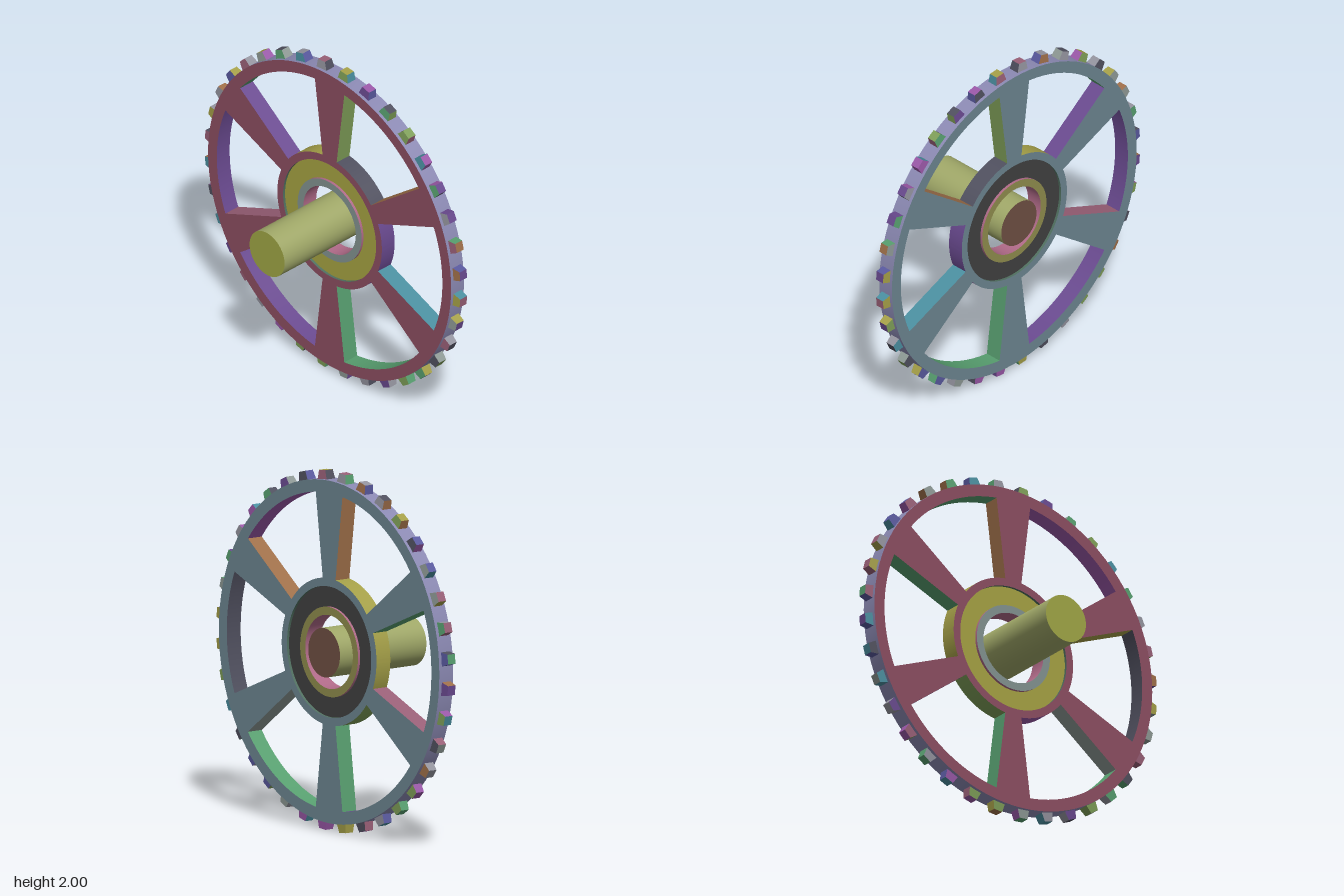
import * as THREE from 'three';
import { toCreasedNormals } from 'three/addons/utils/BufferGeometryUtils.js';

const WHEEL_Z = -0.222, HALF = 0.049, RECESS = 0.015;
const R_RIM = 0.952, R_WINDOW = 0.883, R_HUB = 0.409, R_SEAT = 0.364, R_RING = 0.25, R_BORE = 0.205;

const paint = (color) => new THREE.MeshStandardMaterial({ color });

// Small seeded generator for the varied face colours
let seed = 7;
const random = () => (seed = (seed * 16807) % 2147483647) / 2147483647;
const palette = [0x9a58a8, 0x4a8fa0, 0x7f9f58, 0xa0704a, 0x5a5aa0, 0x8f9a96, 0xa5a048,
  0x9a6078, 0x58a070, 0x6a4a90, 0x94949f, 0x50505f].map(paint);
const pick = () => palette[Math.floor(random() * palette.length)];

// Gives every triangle the material returned by rule(normal z, radius, angle)
function paintFaces(geometry, rule) {
  const g = toCreasedNormals(geometry, 0.5);
  const p = g.attributes.position, materials = [];
  const [a, b, c, n] = [0, 1, 2, 3].map(() => new THREE.Vector3());
  g.clearGroups();
  for (let i = 0; i < p.count; i += 3) {
    a.fromBufferAttribute(p, i);
    b.fromBufferAttribute(p, i + 1);
    c.fromBufferAttribute(p, i + 2);
    THREE.Triangle.getNormal(a, b, c, n);
    a.add(b).add(c).divideScalar(3);
    const m = rule(n.z, Math.hypot(a.x, a.y), Math.atan2(a.y, a.x));
    if (!materials.includes(m)) materials.push(m);
    const index = materials.indexOf(m), last = g.groups[g.groups.length - 1];
    if (last && last.materialIndex === index) last.count += 3;
    else g.addGroup(i, 3, index);
  }
  return new THREE.Mesh(g, materials);
}

// Rim, six flared spokes and hub in one plate with windows
function makeWheel() {
  const shape = new THREE.Shape().absarc(0, 0, R_RIM, 0, Math.PI * 2);
  shape.holes.push(new THREE.Path().absarc(0, 0, R_SEAT, 0, Math.PI * 2, true));
  const inner = Math.asin(0.055 / R_HUB), outer = Math.asin(0.115 / R_WINDOW);
  for (let i = 0; i < 6; i++) {
    const start = Math.PI / 6 + i * Math.PI / 3, end = start + Math.PI / 3;
    const hole = new THREE.Path();
    hole.absarc(0, 0, R_WINDOW, start + outer, end - outer, false);
    hole.absarc(0, 0, R_HUB, end - inner, start + inner, true);
    hole.closePath();
    shape.holes.push(hole);
  }
  const g = new THREE.ExtrudeGeometry(shape, { depth: 2 * HALF, bevelEnabled: false, curveSegments: 48 });
  g.translate(0, 0, -HALF);
  const front = paint(0x8c4d61), back = paint(0x6c8590), rim = paint(0x8c8ab4), seat = paint(0x507060);
  const walls = Array.from({ length: 24 }, pick);
  return paintFaces(g, (nz, r, angle) => {
    if (nz > 0.9) return front;
    if (nz < -0.9) return back;
    if (r > 0.93) return rim;
    if (r < 0.38) return seat;
    // Each window has an outer arc, an inner arc and two spoke sides
    const turn = (angle - Math.PI / 6 + 4 * Math.PI) / (Math.PI / 3);
    const side = r > 0.87 ? 0 : r < 0.415 ? 1 : turn % 1 < 0.5 ? 2 : 3;
    return walls[(Math.floor(turn) % 6) * 4 + side];
  });
}

// Tapered tooth block, standing along +y
function makeToothGeometry() {
  const g = new THREE.BoxGeometry(0.08, 0.056, 0.062);
  const p = g.attributes.position;
  for (let i = 0; i < p.count; i++) {
    if (p.getY(i) > 0) p.setXYZ(i, p.getX(i) * 0.68, p.getY(i), p.getZ(i) * 0.85);
  }
  g.computeVertexNormals();
  return g.translate(0, 0.973, 0);
}

export function createModel() {
  const model = new THREE.Group();
  const add = (parent, name, mesh) => {
    mesh.name = name;
    parent.add(mesh);
    return mesh;
  };

  const wheel = add(model, 'wheelAssembly', new THREE.Group());
  wheel.position.set(0, 1, WHEEL_Z);
  add(wheel, 'spokedWheel', makeWheel());

  // Recessed annular faces of the hub
  const annulus = new THREE.RingGeometry(R_RING, R_SEAT, 96);
  add(wheel, 'hubFaceFront', new THREE.Mesh(annulus, paint(0xa5a242))).position.z = HALF - RECESS;
  const backFace = add(wheel, 'hubFaceBack', new THREE.Mesh(annulus, paint(0x404040)));
  backFace.position.z = RECESS - HALF;
  backFace.rotation.y = Math.PI;

  // Raised ring around the open bore
  const profile = [[R_RING, HALF - RECESS], [R_RING, HALF], [R_BORE, HALF],
    [R_BORE, -HALF], [R_RING, -HALF], [R_RING, RECESS - HALF]];
  const ring = new THREE.LatheGeometry(profile.map(([x, y]) => new THREE.Vector2(x, y)), 96);
  ring.rotateX(Math.PI / 2);
  const ringFront = paint(0x82928f), ringBack = paint(0x8f8c4c), bore = paint(0xb06a88);
  add(wheel, 'boreRing', paintFaces(ring, (nz) => (nz > 0.9 ? ringFront : nz < -0.9 ? ringBack : bore)));

  // Teeth around the rim
  const teeth = add(wheel, 'teeth', new THREE.Group());
  const toothGeometry = makeToothGeometry();
  for (let i = 0; i < 36; i++) {
    const tooth = new THREE.Mesh(toothGeometry, Array.from({ length: 6 }, pick));
    add(teeth, 'tooth', tooth).rotation.z = THREE.MathUtils.degToRad(5 + 10 * i);
  }

  // Free shaft through the bore: side, front end, back end
  const shaft = new THREE.CylinderGeometry(0.137, 0.137, 0.612, 64);
  shaft.rotateX(Math.PI / 2);
  add(model, 'shaft', new THREE.Mesh(shaft, [paint(0xa0a868), paint(0x9fa544), paint(0x6e4f42)])).position.y = 1;
  return model;
}
